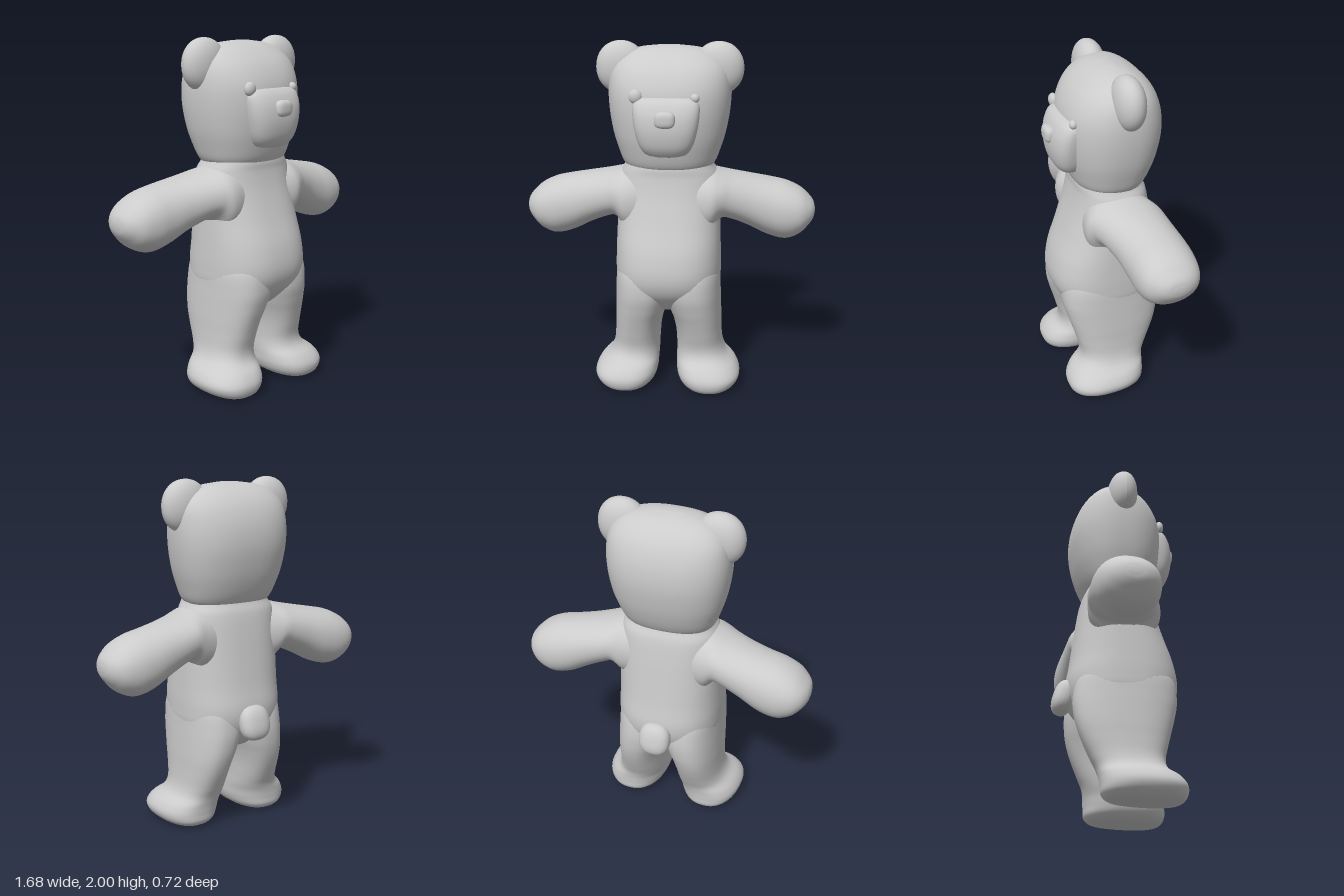
import * as THREE from 'three';

const material = new THREE.MeshStandardMaterial({ color: 0xcccccc, roughness: 0.8 });

// Smooth closed skin through sections [t, uMin, uMax, vMin, vMax].
// axis 'y': t = y, u = z, v = x.  axis 'x': t = x, u = y, v = z.
// power squares the section off; taper widens v towards +u.
function loft(axis, sections, power = 2.3, taper = 0) {
  const around = 48, perSpan = 6, n = sections.length;
  const spline = new THREE.CubicInterpolant(sections.map((s, i) => i), sections.flat(), 5);
  const positions = [], index = [];
  const push = (t, u, v) => positions.push(...(axis === 'y' ? [v, t, u] : [t, u, v]));
  const bend = (c) => Math.sign(c) * Math.pow(Math.abs(c), 2 / power);
  const rings = (n - 1) * perSpan + 1;
  for (let i = 0; i < rings; i++) {
    const [t, u0, u1, v0, v1] = spline.evaluate(i / perSpan);
    for (let j = 0; j < around; j++) {
      const a = (j / around) * Math.PI * 2;
      const u = bend(Math.cos(a)), v = bend(Math.sin(a));
      push(t, (u0 + u1) / 2 + (u1 - u0) / 2 * u, (v0 + v1) / 2 + (v1 - v0) / 2 * v * (1 + taper * u));
    }
  }
  for (let i = 0; i < rings - 1; i++) {
    for (let j = 0; j < around; j++) {
      const k = (j + 1) % around, a = i * around, b = a + around;
      index.push(a + j, a + k, b + k, a + j, b + k, b + j);
    }
  }
  // End caps
  const first = sections[0], last = sections[n - 1], base = rings * around, top = (rings - 1) * around;
  for (const s of [first, last]) push(s[0], (s[1] + s[2]) / 2, (s[3] + s[4]) / 2);
  for (let j = 0; j < around; j++) {
    const k = (j + 1) % around;
    index.push(base, k, j, base + 1, top + j, top + k);
  }
  const geometry = new THREE.BufferGeometry();
  geometry.setAttribute('position', new THREE.Float32BufferAttribute(positions, 3));
  geometry.setIndex(index);
  geometry.computeVertexNormals();
  return geometry;
}

// Copy reflected across x = 0, with the winding turned back outwards
function mirrored(geometry) {
  const copy = geometry.clone().scale(-1, 1, 1);
  copy.setIndex(Array.from(copy.index.array).reverse());
  copy.computeVertexNormals();
  return copy;
}

// Ellipsoid whose corners fill out as power rises
function pebble(rx, ry, rz, power = 2) {
  const geometry = new THREE.SphereGeometry(1, 32, 24);
  const p = geometry.attributes.position;
  for (let i = 0; i < p.count; i++) {
    const c = [p.getX(i), p.getY(i), p.getZ(i)];
    const r = Math.pow(c.reduce((sum, q) => sum + Math.pow(Math.abs(q), power), 0), 1 / power);
    p.setXYZ(i, c[0] / r, c[1] / r, c[2] / r);
  }
  if (power !== 2) geometry.computeVertexNormals();
  return geometry.scale(rx, ry, rz);
}

export function createModel() {
  const bear = new THREE.Group();
  bear.name = 'teddyBear';
  const add = (name, geometry, x = 0, y = 0, z = 0) => {
    const mesh = new THREE.Mesh(geometry, material);
    mesh.name = name;
    mesh.position.set(x, y, z);
    bear.add(mesh);
    return mesh;
  };

  // Torso, closing in a rounded crotch between the legs
  add('torso', loft('y', [
    [0.45, -0.06, 0.07, -0.05, 0.05],
    [0.48, -0.15, 0.18, -0.14, 0.14],
    [0.54, -0.22, 0.26, -0.24, 0.24],
    [0.62, -0.265, 0.325, -0.295, 0.295],
    [0.72, -0.28, 0.35, -0.303, 0.303],
    [0.85, -0.26, 0.33, -0.30, 0.30],
    [1.0, -0.24, 0.275, -0.295, 0.295],
    [1.15, -0.22, 0.225, -0.29, 0.29],
    [1.26, -0.20, 0.20, -0.28, 0.28],
    [1.32, -0.175, 0.195, -0.25, 0.25],
    [1.40, -0.15, 0.17, -0.22, 0.22],
  ], 2.5));

  // Head, slightly narrower at the face
  add('head', loft('y', [
    [1.29, -0.15, 0.17, -0.22, 0.22],
    [1.33, -0.185, 0.205, -0.26, 0.26],
    [1.40, -0.22, 0.23, -0.288, 0.288],
    [1.50, -0.252, 0.253, -0.318, 0.318],
    [1.63, -0.273, 0.265, -0.339, 0.339],
    [1.75, -0.265, 0.253, -0.343, 0.343],
    [1.85, -0.23, 0.205, -0.325, 0.325],
    [1.92, -0.175, 0.135, -0.27, 0.27],
    [1.96, -0.11, 0.07, -0.18, 0.18],
    [1.978, -0.04, 0.01, -0.06, 0.06],
  ], 2.4, -0.06));

  // Legs run from inside the torso down into the feet
  const leg = loft('y', [
    [0.005, -0.03, 0.26, 0.17, 0.33],
    [0.015, -0.09, 0.31, 0.12, 0.37],
    [0.045, -0.12, 0.333, 0.08, 0.41],
    [0.09, -0.125, 0.335, 0.06, 0.425],
    [0.14, -0.13, 0.305, 0.055, 0.40],
    [0.19, -0.142, 0.25, 0.053, 0.345],
    [0.25, -0.17, 0.235, 0.052, 0.32],
    [0.34, -0.21, 0.255, 0.045, 0.312],
    [0.42, -0.238, 0.277, 0.028, 0.31],
    [0.50, -0.255, 0.30, 0.0, 0.307],
    [0.60, -0.26, 0.32, -0.03, 0.303],
    [0.72, -0.24, 0.31, -0.04, 0.295],
    [0.82, -0.18, 0.25, 0.0, 0.26],
  ], 2.4, 0.04);
  add('leftLeg', leg);
  add('rightLeg', mirrored(leg));

  // Arms flare where they join the shoulders and end in round paws
  const arm = loft('x', [
    [0.14, 0.90, 1.30, -0.18, 0.20],
    [0.24, 0.93, 1.295, -0.205, 0.215],
    [0.30, 1.0, 1.278, -0.218, 0.19],
    [0.36, 0.99, 1.263, -0.225, 0.16],
    [0.46, 0.945, 1.243, -0.235, 0.128],
    [0.57, 0.888, 1.222, -0.248, 0.112],
    [0.67, 0.865, 1.20, -0.248, 0.105],
    [0.75, 0.895, 1.163, -0.23, 0.085],
    [0.80, 0.945, 1.12, -0.195, 0.045],
    [0.828, 0.985, 1.085, -0.145, 0.0],
    [0.838, 1.02, 1.05, -0.10, -0.05],
  ], 2.15);
  add('leftArm', arm);
  add('rightArm', mirrored(arm));

  // Ears
  add('leftEar', pebble(0.14, 0.147, 0.087, 2.1), 0.273, 1.853, -0.013);
  add('rightEar', pebble(0.14, 0.147, 0.087, 2.1), -0.273, 1.853, -0.013);

  // Muzzle, broad above and narrow at the chin
  add('muzzle', loft('y', [
    [1.405, 0.18, 0.27, -0.07, 0.07],
    [1.42, 0.16, 0.295, -0.115, 0.115],
    [1.47, 0.15, 0.323, -0.148, 0.148],
    [1.55, 0.15, 0.337, -0.17, 0.17],
    [1.63, 0.15, 0.33, -0.181, 0.181],
    [1.69, 0.16, 0.305, -0.178, 0.178],
    [1.72, 0.18, 0.277, -0.15, 0.15],
    [1.728, 0.20, 0.26, -0.10, 0.10],
  ], 2.6));
  add('nose', pebble(0.056, 0.045, 0.034, 3), 0, 1.622, 0.325);

  // Eyes, one a little larger than the other
  add('leftEye', pebble(0.025, 0.025, 0.022), 0.155, 1.725, 0.243);
  add('rightEye', pebble(0.037, 0.039, 0.026), -0.165, 1.73, 0.239);

  // Tail, a stub tipped against the back
  const tail = add('tail', pebble(0.092, 0.1, 0.06, 2.5), 0, 0.648, -0.292);
  tail.rotation.x = 0.25;

  return bear;
}
